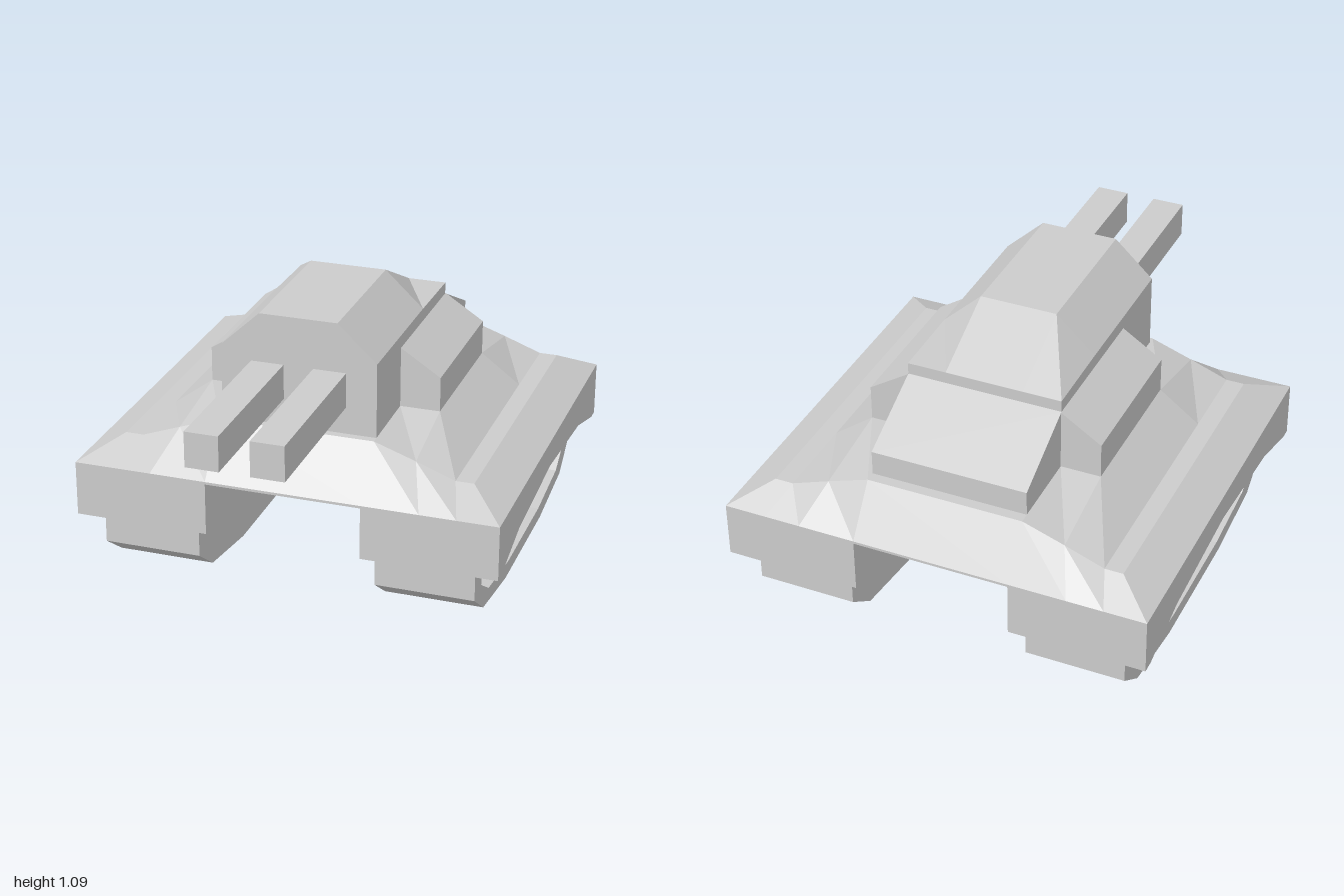
import * as THREE from 'three';

const grey = new THREE.MeshStandardMaterial({ color: 0xcccccc, flatShading: true, side: THREE.DoubleSide });

function add(parent, name, geometry) {
  const mesh = new THREE.Mesh(geometry, grey);
  mesh.name = name;
  parent.add(mesh);
  return mesh;
}

// Box given by its lower and upper corner
function block(parent, name, [x0, y0, z0], [x1, y1, z1]) {
  const mesh = add(parent, name, new THREE.BoxGeometry(x1 - x0, y1 - y0, z1 - z0));
  mesh.position.set((x0 + x1) / 2, (y0 + y1) / 2, (z0 + z1) / 2);
}

// Side profile of [z, y] points, extruded from x0 to x1
function sideExtrude(profile, x0, x1, hole) {
  const points = list => list.map(([z, y]) => new THREE.Vector2(-z, y));
  const shape = new THREE.Shape(points(profile));
  if (hole) shape.holes.push(new THREE.Path(points(hole)));
  return new THREE.ExtrudeGeometry(shape, { depth: x1 - x0, bevelEnabled: false })
    .rotateY(Math.PI / 2).translate(x0, 0, 0);
}

// Upward skin through rows of points, rows running from back to front
function skin(rows) {
  const out = [];
  for (let r = 0; r < rows.length - 1; r++) {
    for (let i = 0; i < rows[r].length - 1; i++) {
      const a = rows[r][i], b = rows[r][i + 1], c = rows[r + 1][i + 1], d = rows[r + 1][i];
      out.push(...a, ...d, ...c, ...a, ...c, ...b);
    }
  }
  const geometry = new THREE.BufferGeometry();
  geometry.setAttribute('position', new THREE.Float32BufferAttribute(out, 3));
  geometry.computeVertexNormals();
  return geometry;
}

// Row at one z from right-half [x, y] points, mirrored to the other half
function row(z, half) {
  return [...half.map(([x, y]) => [-x, y, z]).reverse(), ...half.map(([x, y]) => [x, y, z])];
}

// Outline symmetric about the track centre, from [offset, y] points of the front half
function trackOutline(half, centre = -0.225) {
  return [...half.map(([d, y]) => [centre + d, y]), ...half.map(([d, y]) => [centre - d, y]).reverse()];
}

export function createModel() {
  const model = new THREE.Group();
  model.name = 'tank';

  // Hull deck
  const rim = [[0.3, 0.475], [0.52, 0.475], [0.66, 0.475], [0.82, 0.475], [0.82, 0.475]];
  const end = [[0.3, 0.66], [0.46, 0.605], [0.61, 0.55], [0.68, 0.55], [0.82, 0.475]];
  const middle = [[0.3, 0.665], [0.455, 0.665], [0.61, 0.55], [0.68, 0.55], [0.82, 0.475]];
  add(model, 'hullDeck', skin([
    row(-1, rim), row(-0.87, end), row(-0.53, middle),
    row(0.06, middle), row(0.38, end), row(0.54, rim),
  ]));
  block(model, 'hullFloor', [-0.82, 0.465, -1], [0.82, 0.475, 0.54]);

  // Running gear on both sides
  const outer = trackOutline([[0.4, 0.47], [0.6, 0.4], [0.725, 0.28], [0.725, 0.14], [0.595, 0.045], [0.27, 0]]);
  const inner = trackOutline([[0.37, 0.42], [0.54, 0.36], [0.635, 0.27], [0.635, 0.16], [0.525, 0.09], [0.235, 0.055]]);
  const skirt = [
    [0.54, 0.475], [0.54, 0.26], [0.5, 0.26], [0.25, 0.33], [-0.22, 0.37],
    [-0.7, 0.33], [-0.95, 0.26], [-1, 0.26], [-1, 0.475],
  ];
  for (const [label, s] of [['left', 1], ['right', -1]]) {
    const side = new THREE.Group();
    side.name = label + 'RunningGear';
    model.add(side);
    const span = (a, b) => (s > 0 ? [a, b] : [-b, -a]);
    add(side, 'trackBody', sideExtrude(outer, ...span(0.345, 0.62)));
    add(side, 'trackRim', sideExtrude(outer, ...span(0.62, 0.725), inner));
    add(side, 'sideSkirt', sideExtrude(skirt, ...span(0.725, 0.82)));
    const [x0, x1] = span(0.3, 0.82);
    block(side, 'frontFender', [x0, 0.26, 0.5], [x1, 0.475, 0.54]);
    block(side, 'rearFender', [x0, 0.26, -1], [x1, 0.475, -0.95]);
  }

  // Turret with chamfered roof and sloping rear
  const turret = new THREE.Group();
  turret.name = 'turret';
  model.add(turret);
  const roof = [[0.15, 1.09], [0.3, 0.95], [0.3, 0.66]];
  const back = [[0.15, 0.945], [0.3, 0.945], [0.3, 0.66]];
  const closed = half => half.map(([x]) => [x, 0.66]);
  add(turret, 'turretBody', skin([
    row(-0.525, closed(back)), row(-0.525, back), row(-0.22, roof),
    row(0.35, roof), row(0.35, closed(roof)),
  ]));
  add(turret, 'turretBustle', sideExtrude(
    [[-0.5, 0.66], [-0.5, 0.9], [-0.525, 0.9], [-0.83, 0.755], [-0.83, 0.66]], -0.3, 0.3));

  // Side pods and twin guns
  for (const s of [1, -1]) {
    const pod = new THREE.Shape([[0.3, 0.66], [0.455, 0.66], [0.455, 0.8], [0.3, 0.9]]
      .map(([x, y]) => new THREE.Vector2(s * x, y)));
    add(turret, 'sidePod', new THREE.ExtrudeGeometry(pod, { depth: 0.59, bevelEnabled: false })
      .translate(0, 0, -0.53));
    block(turret, 'gunBarrel', [s * 0.12 - 0.063, 0.765, 0.34], [s * 0.12 + 0.063, 0.9, 1]);
  }
  return model;
}
